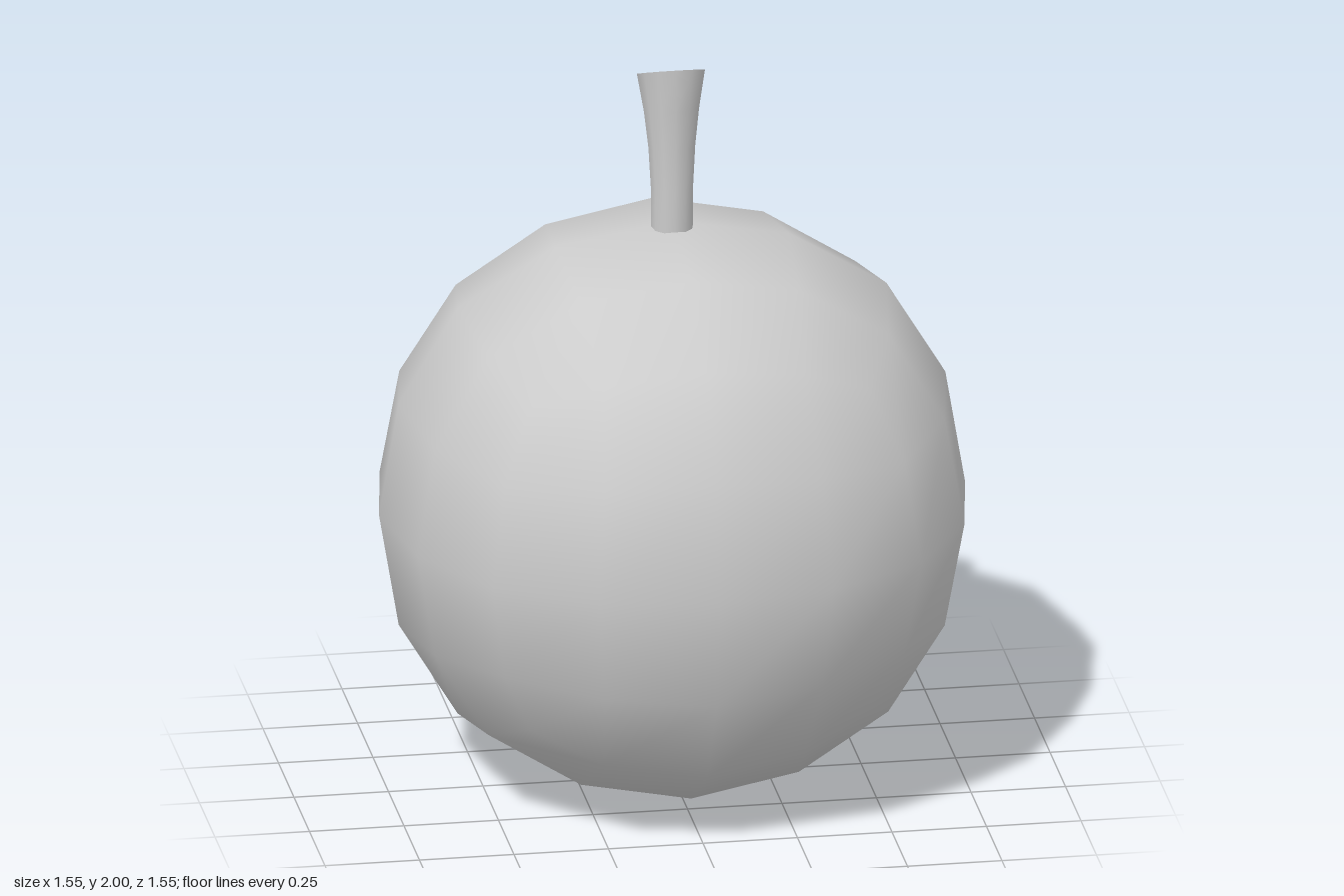
import * as THREE from 'three';
import { mergeVertices } from 'three/addons/utils/BufferGeometryUtils.js';

const grey = new THREE.MeshStandardMaterial({ color: 0xcccccc });

// Rounded cube ball: each grid vertex (indices -2..2) is moved by the symmetry class
// it belongs to; within a class a coordinate depends only on its own index.
function fruitGeometry(radius) {
  const classes = {
    '200': [0, 0, 1],
    '210': [0, 0.399, 0.933],
    '211': [0, 0.372, 0.87],
    '220': [0, 0, 0.732],
    '221': [0, 0.344, 0.682],
    '222': [0, 0, 0.58],
  };
  let geo = new THREE.BoxGeometry(4, 4, 4, 4, 4, 4);
  geo.deleteAttribute('uv');
  geo.deleteAttribute('normal');
  geo = mergeVertices(geo);
  const pos = geo.attributes.position;
  for (let i = 0; i < pos.count; i++) {
    const idx = [pos.getX(i), pos.getY(i), pos.getZ(i)].map(Math.round);
    const key = idx.map(Math.abs).sort((a, b) => b - a).join('');
    pos.setXYZ(i, ...idx.map((n) => Math.sign(n) * classes[key][Math.abs(n)] * radius));
  }
  geo.computeVertexNormals();
  return geo;
}

// Flared stalk with a slanted cut: rings from bottom to top
function stalkGeometry() {
  const rings = [
    { y: 1.48, r: 0.056, z: 0, slope: 0 },
    { y: 1.65, r: 0.056, z: 0, slope: 0.05 },
    { y: 1.76, r: 0.062, z: -0.003, slope: 0.15 },
    { y: 1.86, r: 0.073, z: -0.009, slope: 0.28 },
    { y: 1.963, r: 0.09, z: -0.018, slope: 0.42 },
  ];
  const last = rings.length - 1;
  let geo = new THREE.CylinderGeometry(1, 1, last, 12, last);
  geo.deleteAttribute('uv');
  geo = mergeVertices(geo); // closes the side seam, keeps the cap edges sharp
  const pos = geo.attributes.position;
  for (let i = 0; i < pos.count; i++) {
    const ring = rings[Math.round(pos.getY(i) + last / 2)];
    const dz = pos.getZ(i) * ring.r;
    pos.setXYZ(i, pos.getX(i) * ring.r, ring.y + dz * ring.slope, ring.z + dz);
  }
  geo.computeVertexNormals();
  return geo;
}

export function createModel() {
  const model = new THREE.Group();
  model.name = 'fruit';

  const body = new THREE.Mesh(fruitGeometry(0.775), grey);
  body.name = 'fruitBody';
  body.position.y = 0.776;

  const stalk = new THREE.Mesh(stalkGeometry(), grey);
  stalk.name = 'stalk';

  model.add(body, stalk);
  return model;
}
